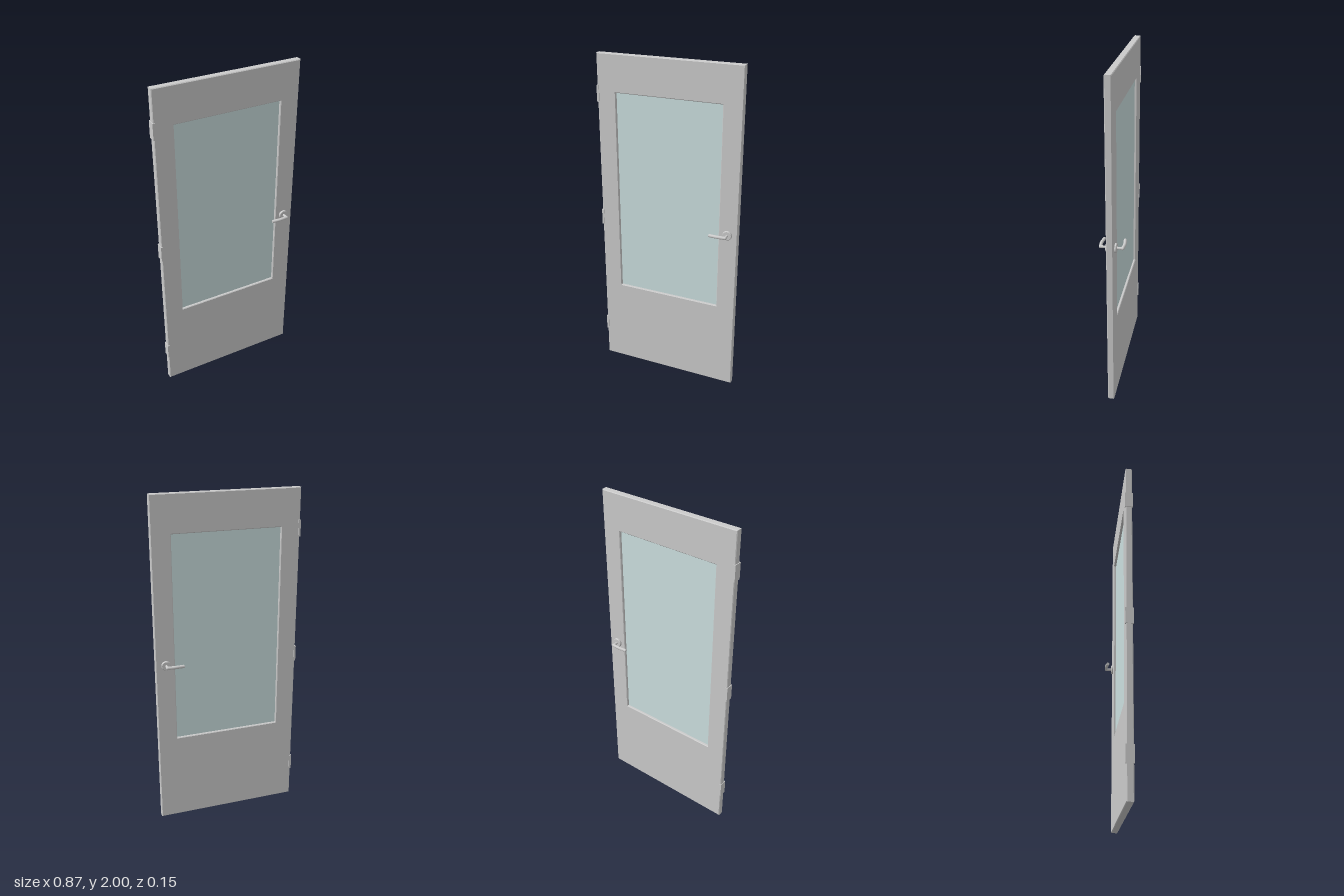
import * as THREE from 'three';

const GREY = new THREE.MeshStandardMaterial({ color: 0xcccccc });
const GLASS = new THREE.MeshStandardMaterial({ color: 0xcce0e0 });
const MID_Z = -0.002; // middle plane of the leaf

function addMesh(parent, name, geometry, x = 0, y = 0, z = 0) {
  const mesh = new THREE.Mesh(geometry, GREY);
  mesh.name = name;
  mesh.position.set(x, y, z);
  parent.add(mesh);
  return mesh;
}

function rectangle(path, x0, y0, x1, y1) {
  path.moveTo(x0, y0);
  path.lineTo(x1, y0);
  path.lineTo(x1, y1);
  path.lineTo(x0, y1);
  path.closePath();
  return path;
}

// Leaf with a window opening; the bevel softens the outer and opening edges
function leafGeometry() {
  const b = 0.004, depth = 0.039;
  const shape = rectangle(new THREE.Shape(), -0.435 + b, b, 0.435 - b, 2 - b);
  shape.holes.push(rectangle(new THREE.Path(), -0.325, 0.54, 0.325, 1.787));
  const geometry = new THREE.ExtrudeGeometry(shape, {
    depth: depth - 2 * b, bevelEnabled: true, bevelSize: b, bevelThickness: b, bevelSegments: 1,
  });
  return geometry.translate(0, 0, MID_Z - depth / 2 + b);
}

// Lever handle, pointing towards -x and standing out along +z
function createHandle(name) {
  const handle = new THREE.Group();
  handle.name = name;

  // Round rose with a chamfered rim
  const profile = [[0, 0], [0.028, 0], [0.028, 0.008], [0.025, 0.012], [0, 0.012]]
    .map(([r, h]) => new THREE.Vector2(r, h));
  const rose = new THREE.LatheGeometry(profile, 32).toNonIndexed();
  rose.computeVertexNormals();
  addMesh(handle, 'rose', rose.rotateX(Math.PI / 2));

  // Neck and rounded elbow
  const neck = new THREE.CylinderGeometry(0.009, 0.007, 0.036, 16).rotateX(Math.PI / 2);
  addMesh(handle, 'neck', neck, 0, 0, 0.028);
  addMesh(handle, 'elbow', new THREE.SphereGeometry(0.0095, 16, 12), 0, 0, 0.0435);

  // Slightly bowed grip with a flat closed end
  const curve = new THREE.CatmullRomCurve3([
    new THREE.Vector3(0, 0, 0.0435),
    new THREE.Vector3(-0.045, 0, 0.0465),
    new THREE.Vector3(-0.098, -0.002, 0.0405),
  ]);
  addMesh(handle, 'grip', new THREE.TubeGeometry(curve, 16, 0.0095, 16));
  const end = addMesh(handle, 'gripEnd', new THREE.CircleGeometry(0.0095, 16));
  end.position.copy(curve.getPoint(1));
  end.quaternion.setFromUnitVectors(new THREE.Vector3(0, 0, 1), curve.getTangent(1));
  return handle;
}

export function createModel() {
  const door = new THREE.Group();
  door.name = 'door';

  addMesh(door, 'leaf', leafGeometry());
  const pane = addMesh(door, 'glassPane', new THREE.BoxGeometry(0.65, 1.247, 0.01), 0, 1.1635, MID_Z);
  pane.material = GLASS;

  // Hinges wrapped around the edge opposite the handle
  [0.236, 1.003, 1.77].forEach((y, i) => {
    addMesh(door, 'hinge' + (i + 1), new THREE.BoxGeometry(0.014, 0.096, 0.047), -0.432, y, MID_Z);
  });

  // A handle on each face, both pointing the same way
  const front = createHandle('frontHandle');
  front.position.set(0.375, 1.028, 0.0165);
  const back = createHandle('backHandle');
  back.scale.z = -1;
  back.position.set(0.375, 1.028, -0.0205);
  door.add(front, back);

  return door;
}
